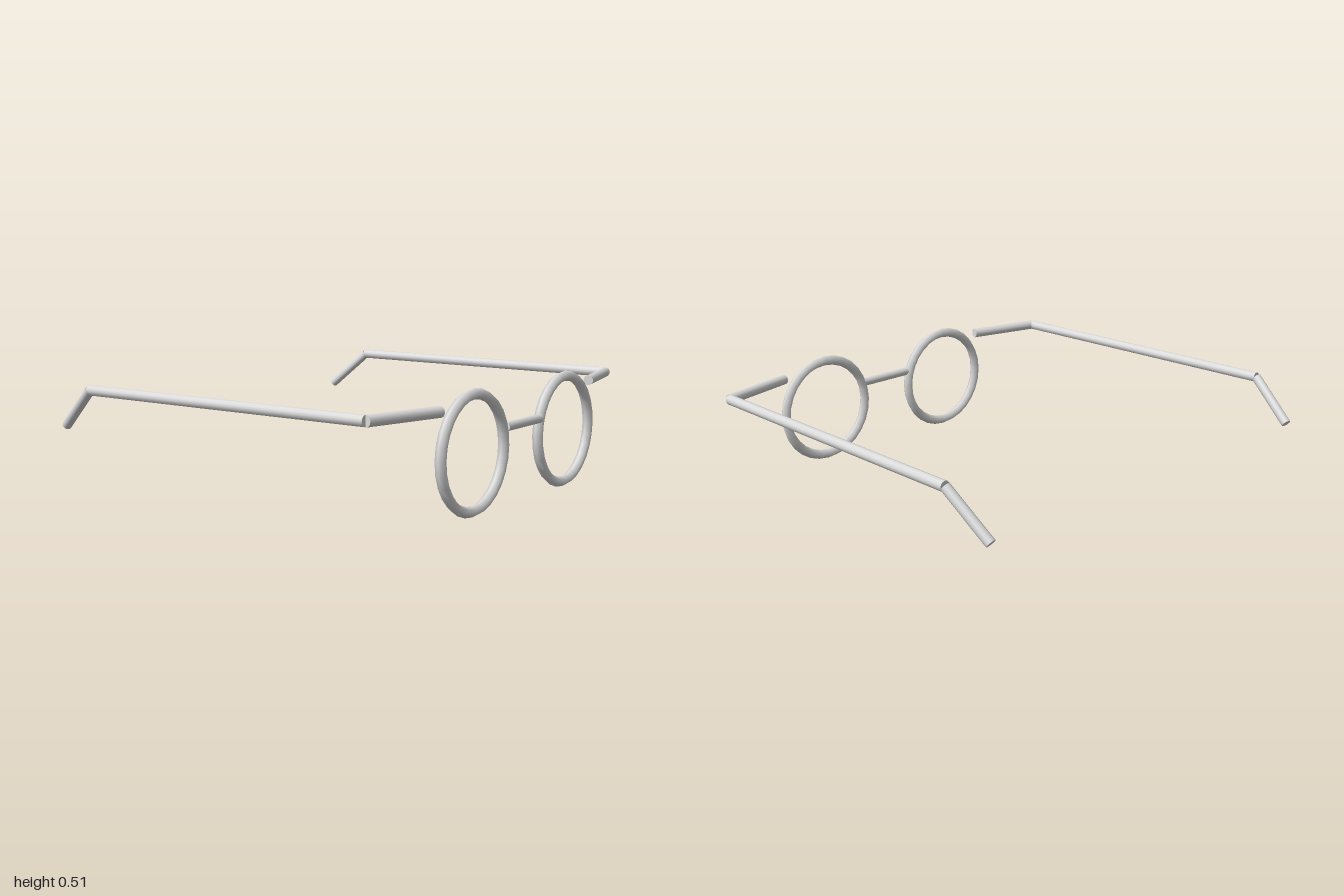
import * as THREE from 'three';

const metal = new THREE.MeshStandardMaterial({ color: 0xdadada });
metal.name = 'light grey metal';

// Straight capped rod between two points
function rod(name, from, to, radius) {
  const a = new THREE.Vector3(...from);
  const b = new THREE.Vector3(...to);
  const dir = b.clone().sub(a);
  const mesh = new THREE.Mesh(new THREE.CylinderGeometry(radius, radius, dir.length(), 12), metal);
  mesh.name = name;
  mesh.position.copy(a).add(b).multiplyScalar(0.5);
  mesh.quaternion.setFromUnitVectors(new THREE.Vector3(0, 1, 0), dir.normalize());
  return mesh;
}

export function createModel() {
  const model = new THREE.Group();
  model.name = 'roundSpectacles';

  // Nose bridge, slightly in front of the rims
  model.add(rod('bridge', [-0.14, 0.331, 0.858], [0.14, 0.331, 0.858], 0.0195));

  for (const [side, s] of [['left', 1], ['right', -1]]) {
    // Round lens rim
    const rim = new THREE.Mesh(new THREE.TorusGeometry(0.2325, 0.0225, 6, 28), metal);
    rim.name = side + 'Rim';
    rim.position.set(s * 0.373, 0.256, 0.85);
    model.add(rim);

    // End piece, temple arm and bent ear tip
    const outer = [s * 0.604, 0.446, 0.848];
    const hinge = [s * 0.953, 0.446, 0.763];
    const bend = [s * 0.975, 0.446, -0.67];
    const tip = [s * 0.94, 0.274, -0.869];
    model.add(rod(side + 'EndPiece', outer, hinge, 0.0225));
    model.add(rod(side + 'Temple', [hinge[0], 0.446, 0.759], bend, 0.0225));
    model.add(rod(side + 'EarTip', bend, tip, 0.0215));
  }
  return model;
}
